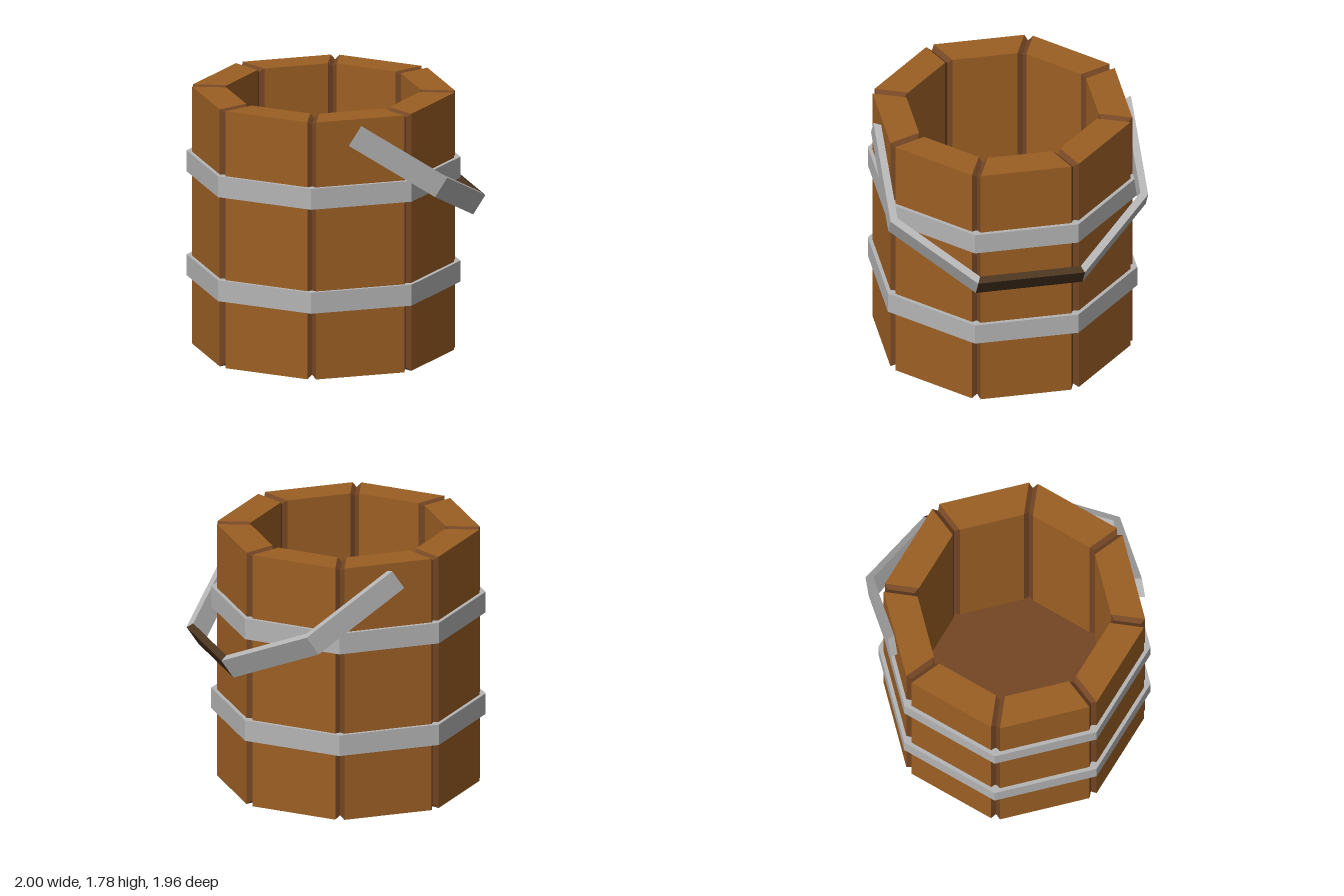
import * as THREE from 'three';

const SIDES = 8, STEP = Math.PI / 4;

// Point on a ring: radius, height, angle, plus a sideways offset
const at = (r, y, a, off = 0) => [
  r * Math.cos(a) - off * Math.sin(a), y, r * Math.sin(a) + off * Math.cos(a)];

// Profile of [radius, height] pairs placed at an angle
const place = (profile, a, off) => profile.map(([r, y]) => at(r, y, a, off));

// Quads between two matching point lists
const strip = (a, b, closed = false) => {
  const tris = [], n = a.length;
  for (let k = 0; k < (closed ? n : n - 1); k++) {
    const m = (k + 1) % n;
    tris.push(a[k], a[m], b[m], a[k], b[m], b[k]);
  }
  return tris;
};

function addMesh(group, name, points, material) {
  const geo = new THREE.BufferGeometry();
  geo.setAttribute('position', new THREE.Float32BufferAttribute(points.flat(), 3));
  geo.computeVertexNormals();
  const mesh = new THREE.Mesh(geo, material);
  mesh.name = name;
  group.add(mesh);
  return mesh;
}

export function createModel() {
  const mat = (name, color) => {
    const m = new THREE.MeshStandardMaterial({ color });
    m.name = name;
    return m;
  };
  const wood = mat('wood', 0x9c5f24);
  const darkWood = mat('darkWood', 0x744624);
  const metal = mat('metal', 0xb4b4b4);
  const gripBrown = mat('gripBrown', 0x4a3520);

  const model = new THREE.Group();
  model.name = 'bucket';
  const body = new THREE.Group();
  body.name = 'bucketBody';
  body.position.set(-0.08, 0, -0.06);
  model.add(body);

  // Staves with V grooves running up the outside, over the rim and down inside
  const floorY = 0.12, half = 0.03;
  const edge = [[0.88, 0], [0.88, 1.78], [0.65, 1.78], [0.65, floorY]];
  const valley = [[0.855, 0.025], [0.855, 1.755], [0.675, 1.755], [0.675, floorY]];
  const grooves = [], base = [], rim = [];
  for (let i = 0; i < SIDES; i++) {
    const a = i * STEP;
    const before = place(edge, a, -half), mid = place(valley, a), after = place(edge, a, half);
    addMesh(body, 'stave', strip(after, place(edge, a + STEP, -half)), wood);
    grooves.push(...strip(before, mid), ...strip(mid, after));
    rim.push(before[0], mid[0], after[0]);
  }
  addMesh(body, 'grooves', grooves, darkWood);

  // Underside
  rim.forEach((p, i) => base.push([0, 0, 0], p, rim[(i + 1) % rim.length]));
  addMesh(body, 'underside', base, darkWood);

  // Inside floor
  const floor = new THREE.Mesh(new THREE.CircleGeometry(0.68, SIDES).rotateX(-Math.PI / 2), darkWood);
  floor.name = 'floor';
  floor.position.y = floorY + 0.005;
  body.add(floor);

  // Metal hoops
  for (const [name, y] of [['lowerHoop', 0.465], ['upperHoop', 1.185]]) {
    const band = [[0.92, y], [0.92, y + 0.145], [0.86, y + 0.145], [0.86, y]];
    const points = [];
    for (let i = 0; i < SIDES; i++) {
      points.push(...strip(place(band, i * STEP), place(band, (i + 1) * STEP), true));
    }
    addMesh(body, name, points, metal);
  }

  // Tilted handle: five flat segments, the middle one is the grip
  const handle = new THREE.Group();
  handle.name = 'handle';
  handle.position.set(0.248 * Math.cos(Math.PI / 8), 1.477, 0.248 * Math.sin(Math.PI / 8));
  handle.rotation.set(0, -Math.PI / 8, -0.588);
  body.add(handle);
  const bar = [[0.95, -0.077], [0.95, 0.077], [0.896, 0.077], [0.896, -0.077]];
  for (let i = 0; i < 5; i++) {
    const a = (i - 2.5) * STEP;
    const p = place(bar, a), q = place(bar, a + STEP);
    const points = strip(p, q, true);
    if (i === 0) points.push(p[0], p[3], p[2], p[0], p[2], p[1]);
    if (i === 4) points.push(q[0], q[1], q[2], q[0], q[2], q[3]);
    addMesh(handle, i === 2 ? 'grip' : 'handleBar', points, i === 2 ? gripBrown : metal);
  }
  return model;
}
